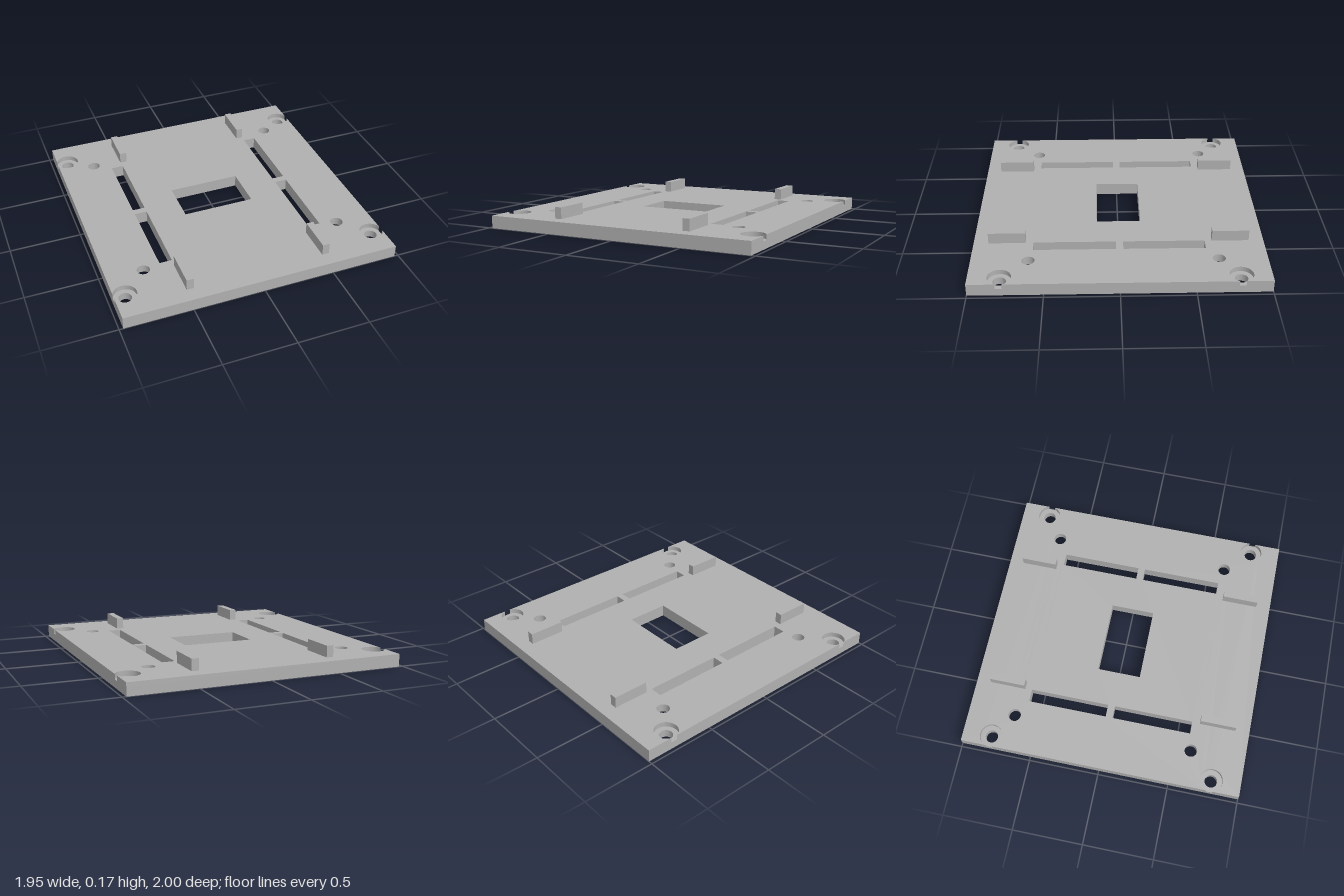
import * as THREE from 'three';
import { mergeGeometries, toCreasedNormals } from 'three/addons/utils/BufferGeometryUtils.js';

// Plan coordinates are (x, -z); all outlines run counter-clockwise.
const X = 0.973, Z = 1, TOP = 0.088;
const BORE = 0.08, HOLE = 0.044;
const TOP_LEDGE = 0.053, UNDER_LEDGE = 0.035;
const BORE_X = 0.896;

const v = (x, y) => new THREE.Vector2(x, y);

function arc(cx, cy, r, from, to, n = 48) {
  return Array.from({ length: n + 1 }, (_, i) => {
    const a = from + (to - from) * i / n;
    return v(cx + r * Math.cos(a), cy + r * Math.sin(a));
  });
}
const circle = (cx, cy, r) => arc(cx, cy, r, 0, Math.PI * 2).slice(0, -1);
const rect = (x0, x1, z0, z1) => [v(x0, -z1), v(x1, -z1), v(x1, -z0), v(x0, -z0)];

// Flat horizontal face with holes, facing up or down
function face(outline, holes, y, up) {
  const shape = new THREE.Shape(outline);
  shape.holes = holes.map((h) => new THREE.Path(h));
  const g = new THREE.ShapeGeometry(shape).toNonIndexed();
  g.deleteAttribute('uv');
  g.rotateX(-Math.PI / 2);
  g.translate(0, y, 0);
  if (!up) {
    const p = g.attributes.position;
    for (let i = 0; i < p.count; i += 3) {
      const a = new THREE.Vector3().fromBufferAttribute(p, i + 1);
      const b = new THREE.Vector3().fromBufferAttribute(p, i + 2);
      p.setXYZ(i + 1, b.x, b.y, b.z);
      p.setXYZ(i + 2, a.x, a.y, a.z);
    }
  }
  g.computeVertexNormals();
  return g;
}

// Vertical wall round a closed outline; inside = true faces it into a hole
function wall(outline, y0, y1, inside = false) {
  const pts = inside ? [...outline].reverse() : outline;
  const pos = [];
  pts.forEach((p, i) => {
    const q = pts[(i + 1) % pts.length];
    pos.push(p.x, y0, -p.y, q.x, y0, -q.y, q.x, y1, -q.y);
    pos.push(p.x, y0, -p.y, q.x, y1, -q.y, p.x, y1, -p.y);
  });
  const g = new THREE.BufferGeometry();
  g.setAttribute('position', new THREE.Float32BufferAttribute(pos, 3));
  g.computeVertexNormals();
  return g;
}

function plateGeometry() {
  const parts = [];
  const base = rect(-X, X, -Z, Z);

  // Central window and four long slots
  const openings = [rect(-0.256, 0.256, -0.158, 0.152)];
  for (const [x0, x1] of [[-0.596, -0.508], [0.508, 0.596]]) {
    openings.push(rect(x0, x1, -0.593, -0.029), rect(x0, x1, 0.021, 0.587));
  }
  openings.forEach((o) => parts.push(wall(o, 0, TOP, true)));

  // Corner holes, counterbored from above and breaking through the side edges
  const half = Math.acos((X - BORE_X) / BORE);
  const notch = (side, y) => {
    const turn = side > 0 ? 0 : Math.PI;
    return arc(side * BORE_X, y, BORE, turn - half, turn - 2 * Math.PI + half);
  };
  const rows = [-0.791, 0.797];
  const right = rows.map((y) => notch(1, y));
  const left = rows.map((y) => notch(-1, y)).reverse();
  const notched = [base[0], base[1], ...right.flat(), base[2], base[3], ...left.flat()];
  const cornerHoles = [];
  for (const side of [1, -1]) {
    for (const y of rows) {
      const hole = circle(side * BORE_X, y, HOLE);
      cornerHoles.push(hole);
      parts.push(wall(hole, 0, TOP_LEDGE, true));
      parts.push(face(notch(side, y), [hole], TOP_LEDGE, true));
    }
  }

  // Inner holes, counterbored from below
  const innerHoles = [], innerBores = [];
  for (const x of [-0.717, 0.717]) {
    for (const y of [-0.613, 0.67]) {
      const hole = circle(x, y, HOLE), bore = circle(x, y, BORE);
      innerHoles.push(hole);
      innerBores.push(bore);
      parts.push(wall(hole, UNDER_LEDGE, TOP, true));
      parts.push(wall(bore, 0, UNDER_LEDGE, true));
      parts.push(face(bore, [hole], UNDER_LEDGE, false));
    }
  }

  // Outer sides, top and underside
  parts.push(wall(base, 0, TOP_LEDGE), wall(notched, TOP_LEDGE, TOP));
  parts.push(face(notched, [...openings, ...innerHoles], TOP, true));
  parts.push(face(base, [...openings, ...cornerHoles, ...innerBores], 0, false));
  return toCreasedNormals(mergeGeometries(parts), 0.5);
}

export function createModel() {
  const model = new THREE.Group();
  model.name = 'mountingPlate';
  const grey = new THREE.MeshStandardMaterial({ color: 0xb0b0b0 });
  grey.name = 'grey';

  const plate = new THREE.Mesh(plateGeometry(), grey);
  plate.name = 'plate';
  model.add(plate);

  // Four upright locating ribs
  const ribGeometry = new THREE.BoxGeometry(0.05, 0.08, 0.255);
  for (const sx of [-1, 1]) {
    for (const sz of [-1, 1]) {
      const rib = new THREE.Mesh(ribGeometry, grey);
      rib.name = `${sz > 0 ? 'front' : 'back'}${sx > 0 ? 'Left' : 'Right'}Rib`;
      rib.position.set(sx * 0.487, TOP + 0.04, sz * 0.77);
      model.add(rib);
    }
  }
  return model;
}
